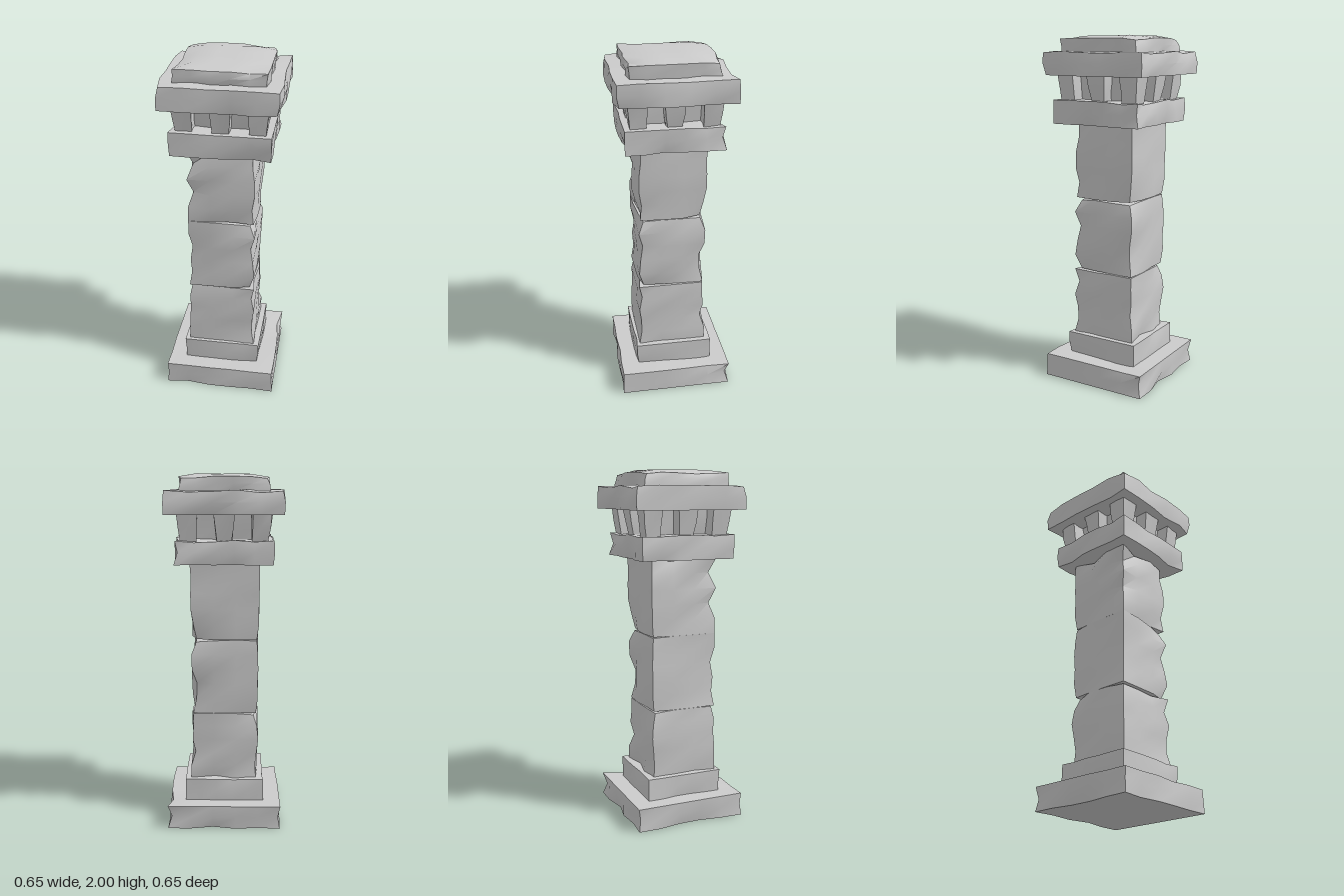
import * as THREE from 'three';
import { mergeVertices, toCreasedNormals } from 'three/addons/utils/BufferGeometryUtils.js';

const stone = new THREE.MeshStandardMaterial({ color: 0xcccccc });

// Seeded random numbers, so the wear is always the same
function seeded(seed) {
  let s = seed * 7919 + 17;
  return () => {
    s = (s * 16807) % 2147483647;
    return s / 2147483647;
  };
}

// A stone block with dented faces and chipped edges.
// w, d: size at the bottom; y0, y1: height range; flare: size at the top / bottom
function wornBlock(name, seed, w, d, y0, y1, { seg = [5, 2, 5], wear = 0.008, chip = 0.014, flare = 1, crease = 0.75, shape } = {}) {
  const h = y1 - y0;
  let geo = new THREE.BoxGeometry(w, h, d, ...seg);
  geo.deleteAttribute('normal');
  geo.deleteAttribute('uv');
  geo = mergeVertices(geo);
  const rand = seeded(seed);
  for (let i = 0; i < 5; i++) rand();
  const p = geo.attributes.position;
  const v = new THREE.Vector3();
  const onSide = (a, size) => Math.abs(Math.abs(a) - size / 2) < 1e-4;
  for (let i = 0; i < p.count; i++) {
    v.fromBufferAttribute(p, i);
    const sx = onSide(v.x, w), sy = onSide(v.y, h), sz = onSide(v.z, d);
    const bottom = sy && v.y < 0;
    const edge = sx + sy + sz > 1;
    const k = 1 + (flare - 1) * (v.y / h + 0.5);
    // most edge points stay sharp, a few are knocked in
    const r = rand();
    const cut = edge ? chip * r * r * r : wear * (r - 0.35);
    if (sx) v.x -= Math.sign(v.x) * cut;
    if (sz) v.z -= Math.sign(v.z) * cut;
    if (sy && !bottom) v.y -= cut * 0.6;
    v.x *= k;
    v.z *= k;
    if (shape) shape(v, sy && !bottom, edge);
    p.setXYZ(i, v.x, v.y + (y0 + y1) / 2, v.z);
  }
  const mesh = new THREE.Mesh(toCreasedNormals(geo, crease), stone);
  mesh.name = name;
  return mesh;
}

export function createModel() {
  const pillar = new THREE.Group();
  pillar.name = 'stonePillar';

  // Stepped foot
  pillar.add(wornBlock('baseSlab', 3, 0.645, 0.645, 0, 0.135, { chip: 0.03 }));
  pillar.add(wornBlock('plinth', 5, 0.45, 0.45, 0.13, 0.262));

  // Shaft of three stacked blocks, slightly narrower in the middle
  const joints = [0.255, 0.65, 1.08, 1.515];
  for (let i = 0; i < 3; i++) {
    pillar.add(wornBlock('shaftBlock' + (i + 1), 11 + i, 0.392, 0.396, joints[i], joints[i + 1], {
      seg: [3, 5, 3], wear: 0.012, chip: 0.035,
      shape: (v) => {
        const y = v.y + (joints[i] + joints[i + 1]) / 2;
        const k = 1 - 0.03 * Math.sin((y - 0.26) / 1.25 * Math.PI);
        v.x = v.x * k - 0.003;
        v.z = v.z * k + 0.006;
      },
    }));
  }

  // Lower ring of the capital
  pillar.add(wornBlock('capitalCollar', 21, 0.55, 0.55, 1.51, 1.645, { chip: 0.03 }));

  // Recessed core with flared brackets at the corners and mid-sides
  pillar.add(wornBlock('capitalCore', 23, 0.33, 0.33, 1.63, 1.79, { seg: [3, 2, 3], flare: 1.12 }));
  const brackets = new THREE.Group();
  brackets.name = 'brackets';
  for (let i = -1; i <= 1; i++) {
    for (let j = -1; j <= 1; j++) {
      if (!i && !j) continue;
      const bracket = wornBlock('bracket', 40 + i * 3 + j, 0.09, 0.09, 1.635, 1.79, {
        seg: [2, 2, 2], wear: 0.006, chip: 0.008, flare: 1.3,
        shape: (v) => {
          const lean = 0.012 * (v.y / 0.155 + 0.5);
          v.x += i * (0.195 + lean);
          v.z += j * (0.195 + lean);
        },
      });
      brackets.add(bracket);
    }
  }
  pillar.add(brackets);

  // Cornice slab
  pillar.add(wornBlock('cornice', 31, 0.65, 0.65, 1.78, 1.912, { chip: 0.028 }));

  // Cap stone with a gently domed top
  pillar.add(wornBlock('capStone', 33, 0.5, 0.5, 1.905, 1.982, {
    chip: 0.02,
    shape: (v, top, edge) => {
      if (top && !edge) v.y += 0.015 - 0.02 * Math.max(0, v.z);
    },
  }));
  return pillar;
}
